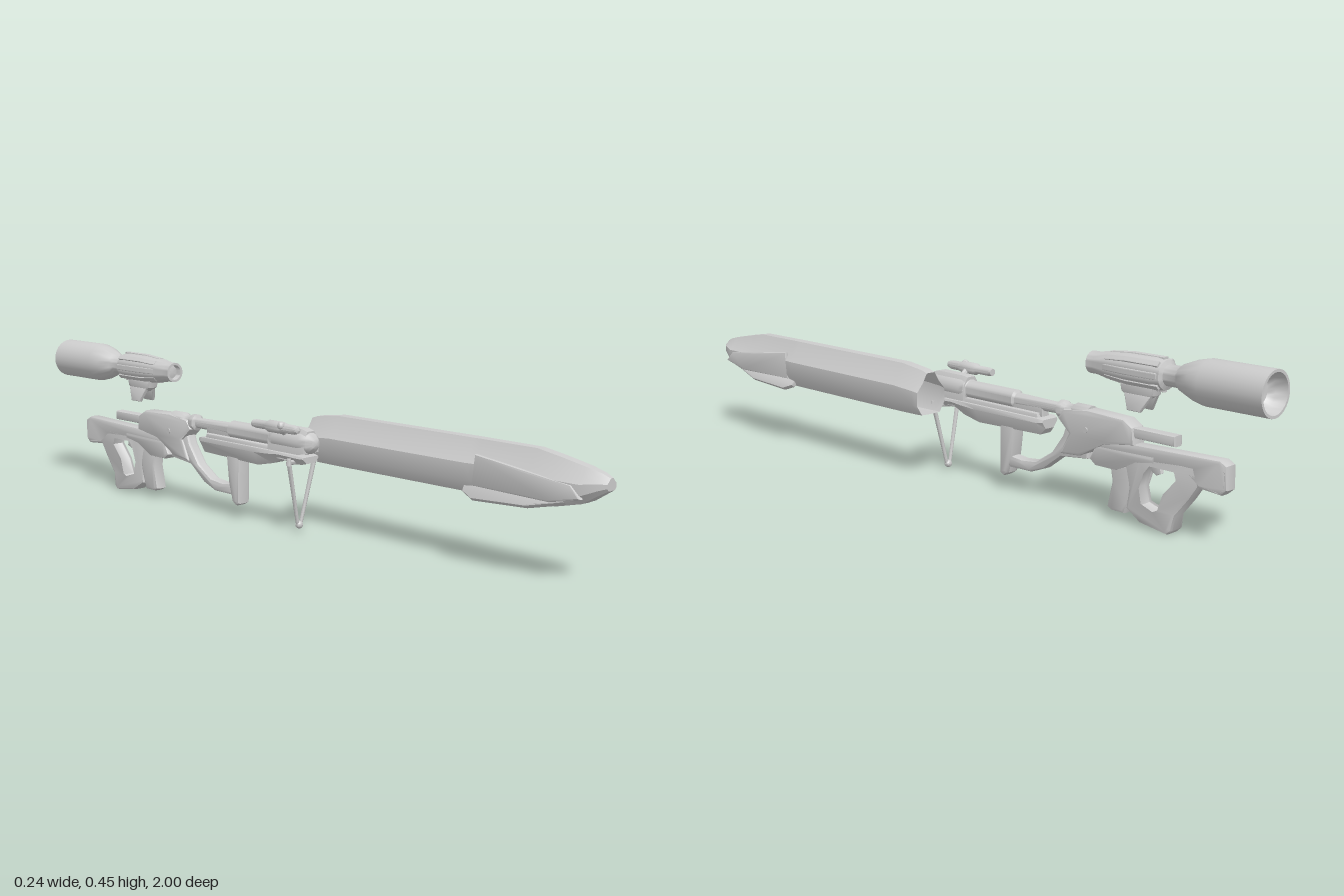
import * as THREE from 'three';
import { toCreasedNormals } from 'three/addons/utils/BufferGeometryUtils.js';

const GX = -0.04; // centre plane of the rifle
const mat = new THREE.MeshStandardMaterial({ color: 0xcccccc, side: THREE.DoubleSide });

function part(parent, name, geo, x = 0, y = 0, z = 0, crease = 0.7) {
  const mesh = new THREE.Mesh(toCreasedNormals(geo, crease), mat);
  mesh.name = name;
  mesh.position.set(x, y, z);
  parent.add(mesh);
  return mesh;
}

// Solid of revolution along z, profile as [radius, z] with z increasing
function turned(profile, sides = 24) {
  const pts = profile.map(([r, z]) => new THREE.Vector2(r, z));
  return new THREE.LatheGeometry(pts, sides).rotateX(Math.PI / 2);
}

// Side outline as [z, y], extruded across x with softened edges
function plate(outline, width, bevel = 0.008, holes = []) {
  const toPts = (a) => a.map(([z, y]) => new THREE.Vector2(z, y));
  const shape = new THREE.Shape(toPts(outline));
  holes.forEach((h) => shape.holes.push(new THREE.Path(toPts(h))));
  const geo = new THREE.ExtrudeGeometry(shape, {
    depth: width - 2 * bevel, bevelEnabled: true, bevelThickness: bevel,
    bevelSize: bevel, bevelOffset: -bevel, bevelSegments: 2,
  });
  return geo.translate(0, 0, bevel - width / 2).rotateY(-Math.PI / 2);
}

// Skin over a symmetric half section [x, t] (t: 0 bottom, 1 top) at stations [z, widthScale, bottom, top]
function loft(half, stations, capStart, capEnd) {
  const ring = [...half, ...half.filter(([x]) => x > 0).reverse().map(([x, t]) => [-x, t])];
  const n = ring.length, pos = [], idx = [];
  for (const [z, w, b, t] of stations) for (const [x, f] of ring) pos.push(x * w, b + f * (t - b), z);
  for (let s = 0; s < stations.length - 1; s++) {
    for (let i = 0; i < n; i++) {
      const a = s * n + i, b = s * n + (i + 1) % n;
      idx.push(a, a + n, b, b, a + n, b + n);
    }
  }
  const cap = (s, flip) => {
    const c = pos.length / 3, [z, , b, t] = stations[s];
    pos.push(0, (b + t) / 2, z);
    for (let i = 0; i < n; i++) {
      const a = s * n + i, d = s * n + (i + 1) % n;
      idx.push(c, flip ? d : a, flip ? a : d);
    }
  };
  if (capStart) cap(0, false);
  if (capEnd) cap(stations.length - 1, true);
  // ring runs clockwise from the top, so reverse the winding to face outward
  for (let i = 0; i < idx.length; i += 3) [idx[i + 1], idx[i + 2]] = [idx[i + 2], idx[i + 1]];
  const geo = new THREE.BufferGeometry();
  geo.setAttribute('position', new THREE.Float32BufferAttribute(pos, 3));
  geo.setIndex(idx);
  if (signedVolume(pos, idx) < 0) geo.setIndex(idx.reverse());
  return geo;
}

function signedVolume(p, idx) {
  let v = 0;
  const at = (i) => new THREE.Vector3(p[3 * i], p[3 * i + 1] - 0.25, p[3 * i + 2]);
  for (let i = 0; i < idx.length; i += 3) v += at(idx[i]).dot(at(idx[i + 1]).cross(at(idx[i + 2])));
  return v;
}

function rod(a, b, r0, r1, sides = 10) {
  const A = new THREE.Vector3(...a), B = new THREE.Vector3(...b), d = B.clone().sub(A);
  const geo = new THREE.CylinderGeometry(r1, r0, d.length(), sides);
  geo.applyQuaternion(new THREE.Quaternion().setFromUnitVectors(new THREE.Vector3(0, 1, 0), d.normalize()));
  return geo.translate(...A.add(B).multiplyScalar(0.5).toArray());
}

function buildCasing(root) {
  const g = new THREE.Group();
  g.name = 'barrelCasing';
  g.position.x = 0.06;
  root.add(g);
  const half = [[0, 1], [0.015, 1], [0.031, 0.78], [0.053, 0.57], [0.053, 0.24], [0.035, 0.01], [0, 0]];
  part(g, 'casingShell', loft(half, [
    [0.04, 0.97, 0.19, 0.307], [0.06, 1, 0.189, 0.313], [0.14, 1, 0.188, 0.323], [0.61, 1, 0.188, 0.323],
    [0.63, 0.94, 0.188, 0.323], [0.8, 0.9, 0.19, 0.322], [0.87, 0.92, 0.193, 0.31], [0.94, 0.86, 0.21, 0.296],
    [0.98, 0.6, 0.235, 0.286], [1, 0.36, 0.247, 0.277]], false, true), 0, 0, 0, 0.6);
  // flared fins under the nose
  for (const s of [-1, 1]) {
    const fin = part(g, 'casingFin', plate([[0.9, 0.01], [0.8, -0.018], [0.64, -0.026], [0.605, -0.01],
      [0.6, 0.025], [0.85, 0.03]], 0.016, 0.004), s * 0.042, 0.198, 0);
    fin.rotation.z = s * 0.65;
    part(g, 'noseCheek', plate([[0.63, 0.21], [0.64, 0.29], [0.8, 0.27], [0.92, 0.255], [0.95, 0.225], [0.86, 0.205]],
      0.014, 0.005), s * 0.044, 0, 0);
  }
}

function buildScope(root) {
  const g = new THREE.Group();
  g.name = 'scope';
  g.position.set(GX, 0.394, 0);
  root.add(g);
  part(g, 'scopeTube', turned([[0, -0.95], [0.035, -0.955], [0.046, -0.97], [0.051, -1], [0.058, -1], [0.058, -0.82],
    [0.05, -0.785], [0.034, -0.745], [0.027, -0.735], [0.027, -0.7], [0.038, -0.695], [0.042, -0.67], [0.041, -0.58],
    [0.036, -0.52], [0.029, -0.48], [0.029, -0.458], [0.022, -0.458], [0.02, -0.475], [0, -0.47]], 28));
  // ribs around the scope body
  for (let i = 0; i < 8; i++) {
    const a = (i / 8) * Math.PI * 2;
    const rib = part(g, 'scopeRib', plate([[-0.69, -0.008], [-0.69, 0.003], [-0.59, 0.003], [-0.52, -0.004], [-0.52, -0.012]],
      0.017, 0.003), -Math.sin(a) * 0.041, Math.cos(a) * 0.041, 0);
    rib.rotation.z = a;
  }
  // forked mount
  part(g, 'mountBase', plate([[-0.56, -0.035], [-0.565, -0.057], [-0.59, -0.07], [-0.64, -0.07], [-0.665, -0.057],
    [-0.67, -0.035]], 0.036, 0.006));
  for (const s of [-1, 1]) {
    const prong = part(g, 'mountProng', plate([[-0.575, -0.002], [-0.595, -0.045], [-0.635, -0.045], [-0.66, -0.002]],
      0.011, 0.003), s * 0.012, -0.057, 0);
    prong.rotation.z = s * 0.3;
  }
}

function buildBipod(root) {
  const g = new THREE.Group();
  g.name = 'bipod';
  root.add(g);
  const foot = [GX, 0.022, 0.075];
  for (const s of [-1, 1]) {
    const hip = [GX + s * 0.049, 0.205, 0.085];
    part(g, 'bipodLeg', rod(hip, [GX + s * 0.005, 0.022, 0.075], 0.0065, 0.005));
    part(g, 'bipodHinge', rod([hip[0], 0.195, 0.085], [hip[0], 0.214, 0.085], 0.008, 0.006));
    part(g, 'bipodArm', rod([GX, 0.198, 0.07], [hip[0], 0.203, 0.085], 0.008, 0.006));
  }
  part(g, 'bipodFoot', new THREE.SphereGeometry(0.011, 12, 8), ...foot);
}

function buildSideSight(root) {
  const g = new THREE.Group();
  g.name = 'sideSight';
  g.position.set(-0.098, 0.298, 0);
  root.add(g);
  part(g, 'sightTube', turned([[0, -0.045], [0.01, -0.045], [0.012, -0.03], [0.012, 0.01], [0.017, 0.02], [0.017, 0.07],
    [0.013, 0.085], [0.013, 0.115], [0.009, 0.13], [0, 0.135]], 14));
  part(g, 'sightKnob', new THREE.SphereGeometry(0.011, 12, 8), -0.01, 0.008, 0.075);
  part(g, 'sightBracket', rod([0, 0, 0.05], [0.027, -0.019, 0.05], 0.01, 0.008, 8));
}

function buildRifle(root) {
  const g = new THREE.Group();
  g.name = 'rifle';
  g.position.x = GX;
  root.add(g);
  // barrel, from the rear bar to the domed muzzle
  part(g, 'barrel', turned([[0, -0.46], [0.024, -0.46], [0.024, -0.41], [0.018, -0.4], [0.018, -0.38], [0.024, -0.37],
    [0.024, -0.355], [0.015, -0.35], [0.018, -0.2], [0.025, -0.195], [0.025, -0.02], [0.032, -0.015], [0.034, 0.0],
    [0.034, 0.1], [0.028, 0.125], [0.014, 0.14], [0, 0.143]], 20), 0, 0.255, 0);
  part(g, 'muzzleHood', loft([[0, 1], [0.014, 1], [0.03, 0.6], [0.033, 0], [0, 0]],
    [[-0.018, 1, 0.225, 0.29], [0.0, 1, 0.225, 0.293], [0.1, 1, 0.225, 0.293], [0.12, 0.9, 0.228, 0.288]], true, true));
  part(g, 'barrelShoulder', plate([[-0.3, 0.225], [-0.3, 0.262], [-0.2, 0.268], [0, 0.262], [0, 0.215], [-0.25, 0.215]], 0.03, 0.006));
  // handguard
  part(g, 'handguard', loft([[0, 1], [0.034, 1], [0.037, 0.75], [0.02, 0], [0, 0]],
    [[-0.315, 0.8, 0.195, 0.22], [-0.3, 1, 0.178, 0.223], [-0.07, 1, 0.172, 0.223], [-0.01, 1, 0.185, 0.223],
      [0.025, 0.95, 0.2, 0.222], [0.1, 0.9, 0.195, 0.22], [0.12, 0.8, 0.2, 0.218]], true, true));
  part(g, 'handguardSpine', plate([[-0.3, 0.2], [-0.29, 0.235], [-0.02, 0.235], [0.06, 0.2]], 0.05, 0.008));
  // vertical foregrip
  part(g, 'foregrip', plate([[-0.15, 0.185], [-0.152, 0.045], [-0.165, 0.038], [-0.18, 0.048], [-0.195, 0.1],
    [-0.205, 0.185]], 0.046, 0.009));
  // curved brace joining the foregrip to the receiver
  part(g, 'brace', plate([[-0.17, 0.065], [-0.26, 0.066], [-0.31, 0.085], [-0.37, 0.13], [-0.46, 0.14], [-0.46, 0.235],
    [-0.39, 0.235], [-0.375, 0.19], [-0.335, 0.135], [-0.28, 0.1], [-0.23, 0.095], [-0.18, 0.1]], 0.038, 0.009));
  part(g, 'receiver', plate([[-0.36, 0.235], [-0.38, 0.262], [-0.46, 0.272], [-0.58, 0.268], [-0.61, 0.25],
    [-0.615, 0.205], [-0.52, 0.19], [-0.44, 0.145], [-0.37, 0.14], [-0.4, 0.2]], 0.052, 0.01));
  part(g, 'rearRail', plate([[-0.5, 0.222], [-0.5, 0.25], [-0.735, 0.25], [-0.735, 0.222]], 0.036, 0.008));
  part(g, 'receiverPin', new THREE.CylinderGeometry(0.008, 0.008, 0.058, 12).rotateZ(Math.PI / 2), 0, 0.22, -0.46);
  // stock with its open rear ring
  part(g, 'stock', plate([[-0.46, 0.185], [-0.5, 0.205], [-0.87, 0.216], [-0.89, 0.205], [-0.892, 0.145], [-0.875, 0.13],
    [-0.81, 0.135], [-0.77, 0.165], [-0.6, 0.172], [-0.49, 0.165]], 0.042, 0.008,
  [[[-0.815, 0.152], [-0.8, 0.165], [-0.81, 0.185], [-0.87, 0.193], [-0.878, 0.185], [-0.877, 0.15], [-0.865, 0.144]]]));
  part(g, 'triggerShelf', plate([[-0.47, 0.145], [-0.49, 0.13], [-0.56, 0.13], [-0.62, 0.16], [-0.68, 0.17], [-0.68, 0.19],
    [-0.49, 0.185]], 0.046, 0.008));
  part(g, 'frontGrip', plate([[-0.535, 0.15], [-0.545, 0.1], [-0.53, 0.03], [-0.545, 0.022], [-0.585, 0.022],
    [-0.595, 0.05], [-0.61, 0.1], [-0.615, 0.15]], 0.04, 0.008));
  // trigger and looped rear grip
  part(g, 'trigger', plate([[-0.655, 0.18], [-0.66, 0.145], [-0.675, 0.138], [-0.69, 0.145], [-0.68, 0.18]], 0.014, 0.003));
  const loop = plate([[-0.585, 0.15], [-0.6, 0.09], [-0.595, 0.04], [-0.64, 0.012], [-0.725, 0.0], [-0.738, 0.012],
    [-0.745, 0.05], [-0.785, 0.1], [-0.815, 0.145], [-0.8, 0.19], [-0.74, 0.19], [-0.63, 0.18]], 0.042, 0.008,
  [[[-0.625, 0.1], [-0.635, 0.055], [-0.68, 0.04], [-0.7, 0.05], [-0.715, 0.095], [-0.755, 0.14], [-0.745, 0.17],
    [-0.66, 0.17], [-0.64, 0.145]]]);
  // flare the grip toward its base
  const p = loop.attributes.position;
  for (let i = 0; i < p.count; i++) p.setX(i, p.getX(i) * (1 + 0.35 * Math.max(0, 1 - p.getY(i) / 0.07)));
  part(g, 'rearGrip', loop);
}

export function createModel() {
  const root = new THREE.Group();
  root.name = 'explodedRifle';
  buildCasing(root);
  buildScope(root);
  buildBipod(root);
  buildSideSight(root);
  buildRifle(root);
  return root;
}
